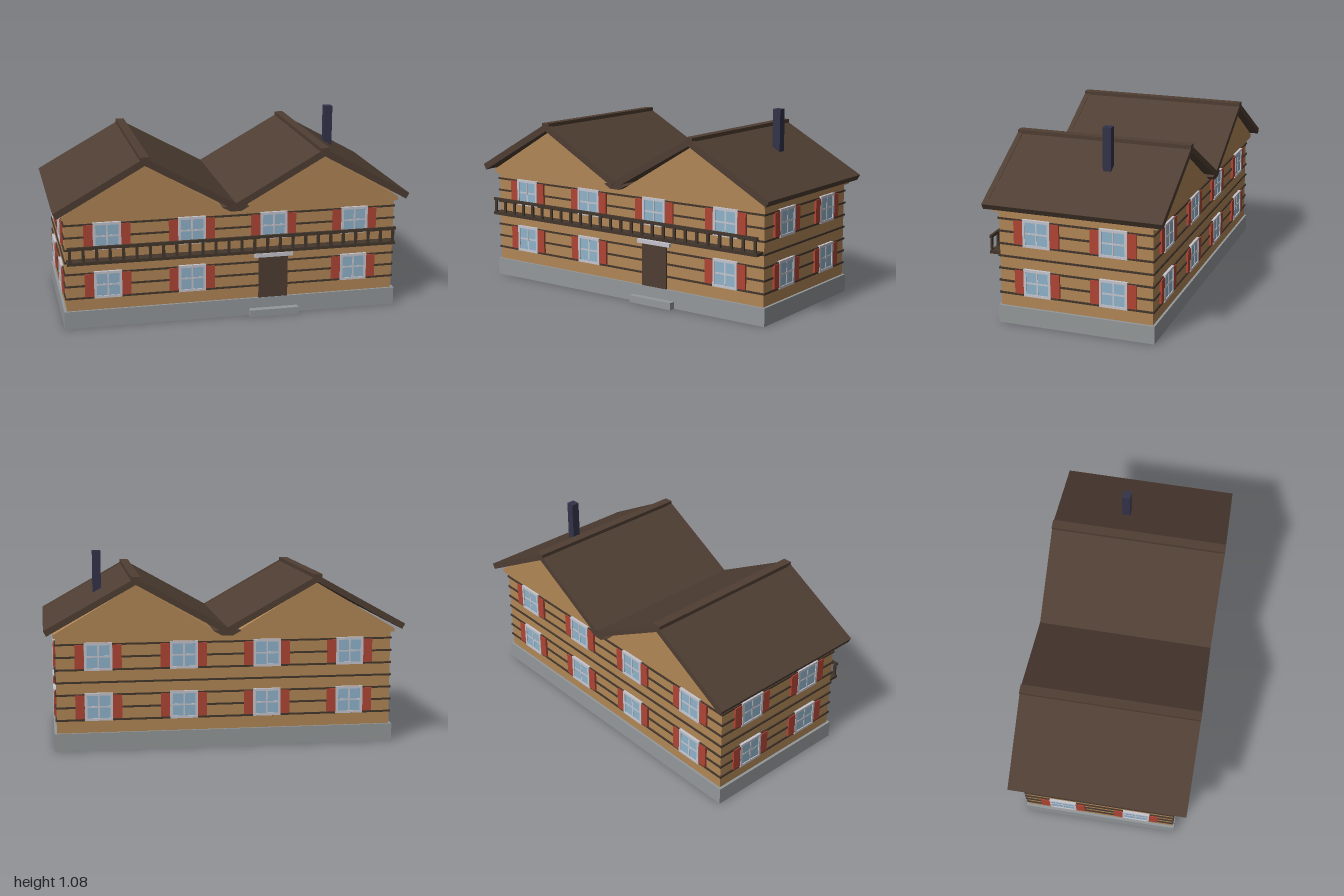
import * as THREE from 'three';

const mat = (name, color) => Object.assign(new THREE.MeshStandardMaterial({ color }), { name });
const wood = mat('wallWood', 0xb18656);
const roofBrown = mat('roofBrown', 0x4f3e33);
const timber = mat('darkTimber', 0x43362c);
const stone = mat('foundationStone', 0x94989a);
const shutterRed = mat('shutterRed', 0xb04535);
const frameGrey = mat('windowFrame', 0xc6c5ce);
const glass = mat('windowGlass', 0x8fb3cb);
const chimneyBlue = mat('chimneySlate', 0x33334a);

export function createModel() {
  const model = new THREE.Group();
  model.name = 'chalet';

  // box given by its centre and size
  const box = (parent, name, m, [x, y, z], [w, h, d]) => {
    const mesh = new THREE.Mesh(new THREE.BoxGeometry(w, h, d), m);
    mesh.name = name;
    mesh.position.set(x, y, z);
    parent.add(mesh);
    return mesh;
  };

  // cross-section in x and y, extruded from z0 to z1
  const prism = (name, m, points, z0, z1, x = 0) => {
    const shape = new THREE.Shape(points.map(([px, py]) => new THREE.Vector2(px, py)));
    const geo = new THREE.ExtrudeGeometry(shape, { depth: z1 - z0, bevelEnabled: false });
    const mesh = new THREE.Mesh(geo, m);
    mesh.name = name;
    mesh.position.set(x, 0, z0);
    model.add(mesh);
  };

  // body
  box(model, 'foundation', stone, [0, 0.05, 0], [1.9, 0.1, 0.886]);
  box(model, 'doorStep', stone, [0.23, 0.02, 0.455], [0.28, 0.04, 0.05]);
  box(model, 'walls', wood, [0, 0.365, 0], [1.87, 0.53, 0.86]);

  // dark seams between the logs, all around the house
  for (let i = 0; i < 7; i++) {
    box(model, 'logSeam', timber, [0, 0.172 + i * 0.07, 0], [1.884, 0.01, 0.874]);
  }

  // window with cross bars and two shutters, facing local +z
  const addWindow = (parent, x, y) => {
    const w = new THREE.Group();
    w.name = 'window';
    w.position.set(x, y, 0);
    parent.add(w);
    box(w, 'pane', glass, [0, 0, 0.0055], [0.14, 0.14, 0.009]);
    for (const s of [-1, 1]) {
      box(w, 'frameSide', frameGrey, [s * 0.07, 0, 0.007], [0.014, 0.154, 0.016]);
      box(w, 'frameRail', frameGrey, [0, s * 0.07, 0.007], [0.126, 0.014, 0.016]);
      box(w, 'shutter', shutterRed, [s * 0.103, 0, 0.006], [0.05, 0.132, 0.014]);
    }
    box(w, 'barUpright', frameGrey, [0, 0, 0.006], [0.009, 0.126, 0.013]);
    box(w, 'barAcross', frameGrey, [0, 0, 0.006], [0.126, 0.009, 0.012]);
  };

  const longSide = [-0.705, -0.235, 0.23, 0.7];
  const shortSide = [-0.215, 0.215];
  const facades = [
    ['frontWindows', 0, 0.43, longSide],
    ['leftWindows', Math.PI / 2, 0.935, shortSide],
    ['backWindows', Math.PI, 0.43, longSide],
    ['rightWindows', -Math.PI / 2, 0.935, shortSide],
  ];
  for (const [name, angle, distance, places] of facades) {
    const side = new THREE.Group();
    side.name = name;
    side.rotation.y = angle;
    side.position.set(Math.sin(angle) * distance, 0, Math.cos(angle) * distance);
    model.add(side);
    for (const x of places) {
      addWindow(side, x, 0.525);
      const isDoorPlace = name === 'frontWindows' && x === 0.23;
      if (!isDoorPlace) addWindow(side, x, 0.246);
    }
  }

  // door and its canopy
  box(model, 'door', roofBrown, [0.23, 0.22, 0.433], [0.167, 0.24, 0.014]);
  box(model, 'doorCanopy', frameGrey, [0.23, 0.352, 0.438], [0.22, 0.022, 0.024]);

  // balcony
  box(model, 'balconyFloor', timber, [0, 0.39, 0.461], [1.86, 0.017, 0.066]);
  box(model, 'balconyRail', timber, [0, 0.476, 0.487], [1.86, 0.016, 0.014]);
  const posts = 26;
  for (let i = 0; i < posts; i++) {
    const x = -0.915 + (1.83 * i) / (posts - 1);
    box(model, 'baluster', timber, [x, 0.433, 0.487], [0.016, 0.072, 0.01]);
  }

  // twin gables and roofs
  for (const x of [-0.5, 0.5]) {
    const outer = Math.sign(x);
    prism('gable', wood, [
      [outer * 0.45, 0.63], [outer * 0.45, 0.65], [0, 0.916],
      [-outer * 0.46, 0.64], [-outer * 0.5, 0.63],
    ], -0.457, 0.457, x);
    prism('roof', roofBrown, [
      [-0.5, 0.68], [-0.483, 0.65], [0, 0.921],
      [0.483, 0.65], [0.5, 0.68], [0, 0.958],
    ], -0.497, 0.497, x);
    prism('bargeBoard', roofBrown, [
      [-0.5, 0.681], [-0.482, 0.649], [0, 0.919],
      [0.482, 0.649], [0.5, 0.681], [0, 0.962],
    ], 0.47, 0.499, x);
    box(model, 'ridgeCap', roofBrown, [x, 0.952, 0], [0.05, 0.026, 0.996]);
  }
  prism('valleyGutter', roofBrown, [
    [-0.075, 0.66], [-0.03, 0.635], [0.03, 0.635], [0.075, 0.66], [0, 0.674],
  ], -0.495, 0.495);

  box(model, 'chimney', chimneyBlue, [0.693, 0.92, -0.098], [0.047, 0.31, 0.047]);
  return model;
}
